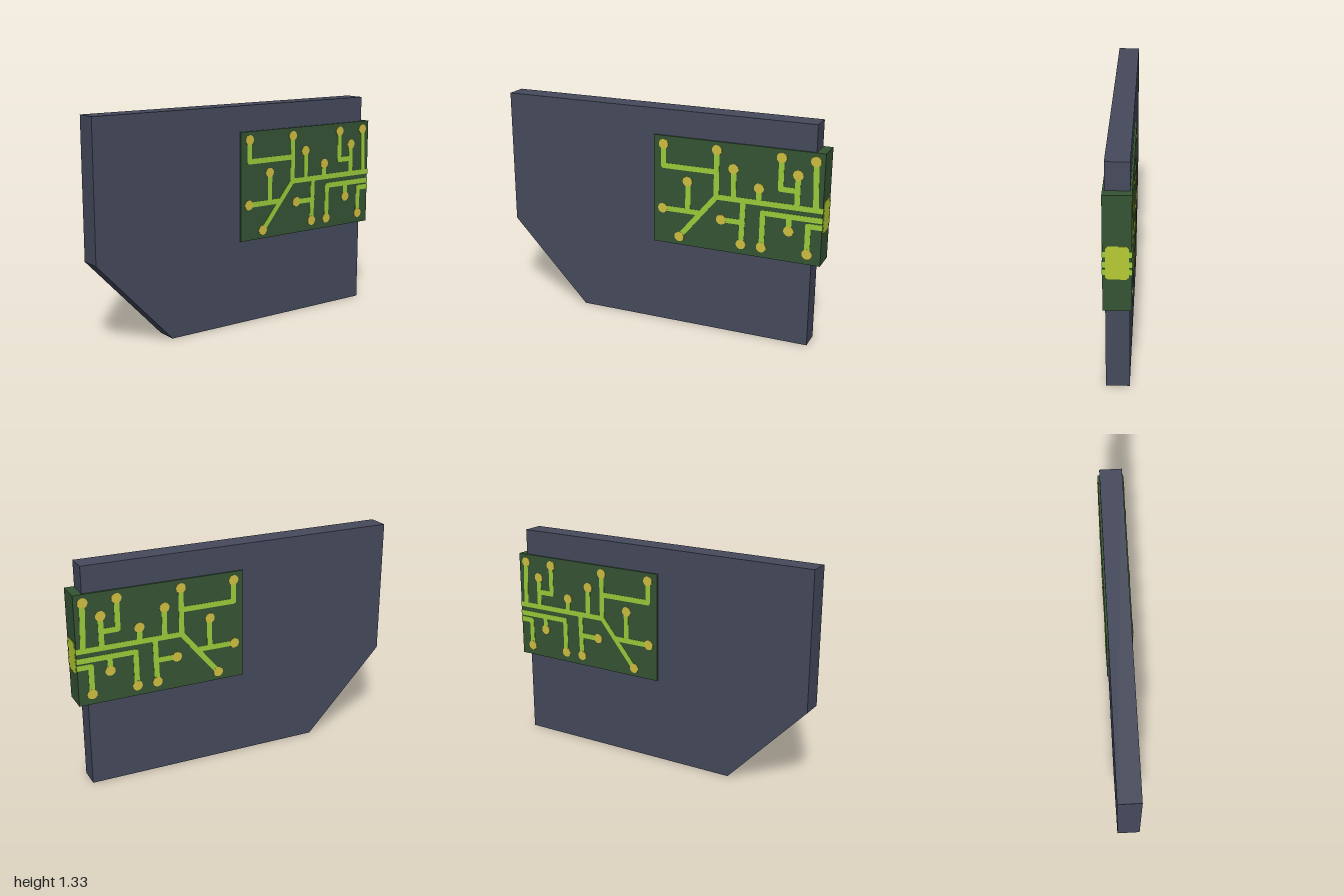
import * as THREE from 'three';

const mat = (name, color) => {
  const m = new THREE.MeshStandardMaterial({ color });
  m.name = name;
  return m;
};

export function createModel() {
  const slate = mat('slate', 0x454a5c);
  const boardGreen = mat('board green', 0x355434);
  const traceGreen = mat('trace green', 0x9ccd3a);
  const padGold = mat('pad gold', 0xd0c040);
  const contactLime = mat('contact lime', 0xb7cc34);

  const model = new THREE.Group();
  const add = (parent, name, geo, material, x = 0, y = 0, z = 0) => {
    const mesh = new THREE.Mesh(geo, material);
    mesh.name = name;
    mesh.position.set(x, y, z);
    parent.add(mesh);
    return mesh;
  };

  // Slab with one cut corner
  const outline = [[-1, 1.325], [-1, 0.51], [-0.515, 0], [0.942, 0], [0.942, 1.325]];
  const slab = new THREE.Shape(outline.map(p => new THREE.Vector2(...p)));
  add(model, 'slab', new THREE.ExtrudeGeometry(slab, { depth: 0.13, bevelEnabled: false }), slate, 0, 0, -0.065);

  // Circuit board wrapped around the right part of the slab
  add(model, 'circuitBoard', new THREE.BoxGeometry(1.025, 0.66, 0.152), boardGreen, 0.4845, 0.84, 0);

  const END = 0.998;
  const traces = [
    [[0.035, 1.12], [0.035, 0.99], [0.366, 0.99]],
    [[0.366, 1.12], [0.366, 0.84], [END, 0.84]],
    [[0.136, 0.561], [0.366, 0.84]],
    [[0.03, 0.727], [0.265, 0.727]],
    [[0.19, 0.91], [0.19, 0.727]],
    [[0.47, 1.02], [0.472, 0.84]],
    [[0.623, 0.925], [0.623, 0.84]],
    [[0.75, 1.12], [0.75, 0.938], [0.848, 0.938]],
    [[0.848, 1.03], [0.848, 0.84]],
    [[0.947, 1.12], [0.957, 0.84]],
    [[0.398, 0.706], [0.53, 0.706]],
    [[0.524, 0.572], [0.531, 0.84]],
    [[0.648, 0.572], [0.65, 0.782], [END, 0.782]],
    [[0.805, 0.695], [0.805, 0.782]],
    [[0.917, 0.572], [0.917, 0.741], [END, 0.741]],
  ];
  const pads = [
    [0.035, 1.12], [0.366, 1.12], [0.75, 1.12], [0.945, 1.12], [0.848, 1.03],
    [0.468, 1.02], [0.623, 0.925], [0.187, 0.91], [0.03, 0.727], [0.398, 0.706],
    [0.136, 0.561], [0.523, 0.572], [0.646, 0.572], [0.805, 0.695], [0.917, 0.572],
  ];
  const W = 0.032;
  const disc = (r, h) => new THREE.CylinderGeometry(r, r, h, 18).rotateX(Math.PI / 2);
  const joint = disc(W / 2, 0.003);
  const pad = disc(0.03, 0.004);

  // The same circuit lies on the front and the back
  for (const side of [1, -1]) {
    const circuit = new THREE.Group();
    circuit.name = side > 0 ? 'frontCircuit' : 'backCircuit';
    for (const path of traces) {
      path.forEach(([x, y], i) => {
        if (x < END) add(circuit, 'traceJoint', joint, traceGreen, x, y, side * 0.0765);
        if (i === 0) return;
        const [px, py] = path[i - 1];
        const bar = new THREE.BoxGeometry(Math.hypot(x - px, y - py), W, 0.003);
        add(circuit, 'trace', bar, traceGreen, (x + px) / 2, (y + py) / 2, side * 0.0765)
          .rotation.z = Math.atan2(y - py, x - px);
      });
    }
    for (const [x, y] of pads) add(circuit, 'pad', pad, padGold, x, y, side * 0.077);
    model.add(circuit);
  }

  // Contact patch on the board's end, with tabs meeting the traces
  const contact = new THREE.Group();
  contact.name = 'edgeContact';
  const c = 0.012, hz = 0.06, hy = 0.095;
  const patch = new THREE.Shape([
    [-hz + c, -hy], [hz - c, -hy], [hz, -hy + c], [hz, hy - c],
    [hz - c, hy], [-hz + c, hy], [-hz, hy - c], [-hz, -hy + c],
  ].map(p => new THREE.Vector2(...p)));
  const patchGeo = new THREE.ExtrudeGeometry(patch, { depth: 0.003, bevelEnabled: false }).rotateY(Math.PI / 2);
  add(contact, 'contactPatch', patchGeo, contactLime, 0.997, 0.793, 0);
  for (const side of [1, -1]) {
    for (const y of [0.84, 0.782, 0.741]) {
      add(contact, 'contactTab', new THREE.BoxGeometry(0.003, W, 0.02), traceGreen, 0.998, y, side * 0.068);
    }
  }
  model.add(contact);

  return model;
}
